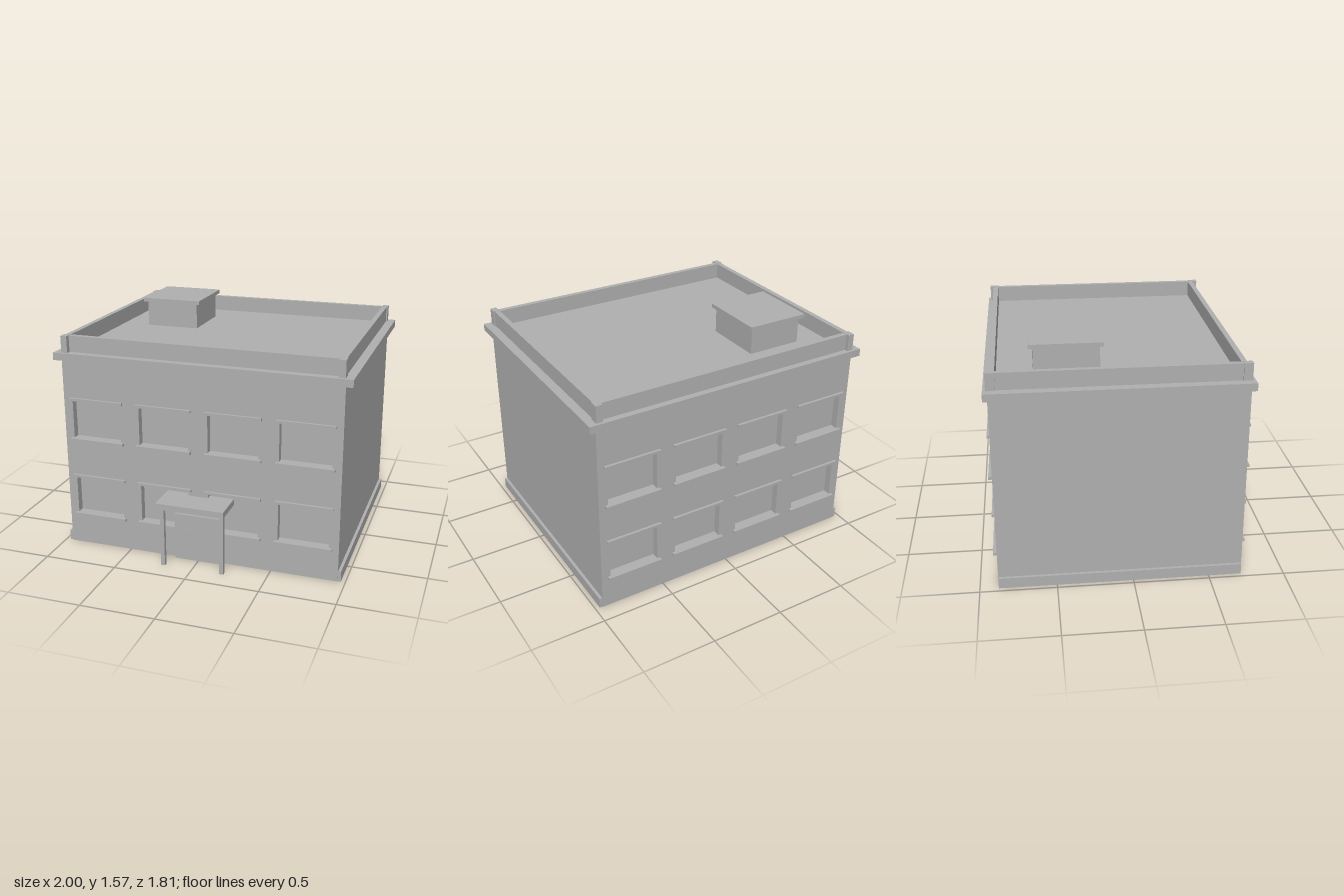
import * as THREE from 'three';

export function createModel() {
  const group = new THREE.Group();
  const plaster = new THREE.MeshStandardMaterial({ color: 0xb0b0b0 });
  plaster.name = 'grey plaster';

  const add = (name, geometry) => {
    const mesh = new THREE.Mesh(geometry, plaster);
    mesh.name = name;
    group.add(mesh);
    return mesh;
  };
  // Box given by its limits on each axis
  const box = (name, x0, x1, y0, y1, z0, z1) =>
    add(name, new THREE.BoxGeometry(x1 - x0, y1 - y0, z1 - z0))
      .position.set((x0 + x1) / 2, (y0 + y1) / 2, (z0 + z1) / 2);
  const rect = (Kind, x0, x1, y0, y1) => new Kind([
    new THREE.Vector2(x0, y0), new THREE.Vector2(x1, y0),
    new THREE.Vector2(x1, y1), new THREE.Vector2(x0, y1),
  ]);

  const FRONT = 0.72, BACK = -0.88, RECESS = 0.05;
  const columns = [-0.717, -0.24, 0.237, 0.715];
  const floors = [0.23, 0.78];
  const halfWidth = 0.171, windowHeight = 0.265;

  // Core block, whose faces are the window panes
  box('core', -0.95, 0.95, 0, 1.33, BACK + RECESS, FRONT - RECESS);

  // Pierced front and back walls
  const wall = rect(THREE.Shape, -0.95, 0.95, 0, 1.33);
  for (const x of columns) for (const y of floors)
    wall.holes.push(rect(THREE.Path, x - halfWidth, x + halfWidth, y, y + windowHeight));
  const wallGeometry = new THREE.ExtrudeGeometry(wall, { depth: RECESS, bevelEnabled: false });
  add('frontWall', wallGeometry).position.z = FRONT - RECESS;
  add('backWall', wallGeometry).position.z = BACK;

  // Window sills and heads
  for (const x of columns) for (const y of floors) {
    const top = y + windowHeight;
    box('frontSill', x - 0.192, x + 0.192, y - 0.018, y, FRONT - RECESS, 0.745);
    box('frontHead', x - 0.192, x + 0.192, top, top + 0.018, FRONT - RECESS, 0.738);
    box('backSill', x - 0.192, x + 0.192, y - 0.018, y, -0.905, BACK + RECESS);
    box('backHead', x - 0.192, x + 0.192, top, top + 0.018, -0.898, BACK + RECESS);
  }

  // Plinth and cornice
  box('plinth', -0.97, 0.97, 0, 0.072, -0.877, 0.717);
  box('cornice', -1, 1, 1.32, 1.37, -0.907, 0.743);

  // Parapet ring with corner posts
  const ring = rect(THREE.Shape, -0.94, 0.94, -0.69, 0.865);
  ring.holes.push(rect(THREE.Path, -0.905, 0.905, -0.655, 0.83));
  const parapet = add('parapet', new THREE.ExtrudeGeometry(ring, { depth: 0.11, bevelEnabled: false }));
  parapet.rotation.x = -Math.PI / 2;
  parapet.position.y = 1.37;
  for (const s of [-1, 1]) {
    const x0 = Math.min(s * 0.905, s * 0.948), x1 = x0 + 0.043;
    box('cornerPost', x0, x1, 1.37, 1.482, 0.665, 0.723);
    box('cornerPost', x0, x1, 1.37, 1.482, -0.888, -0.83);
  }

  // Roof hatch
  box('roofHatch', -0.71, -0.333, 1.37, 1.55, -0.6, -0.185);
  box('hatchCap', -0.737, -0.308, 1.547, 1.574, -0.627, -0.165);

  // Entrance: door, canopy and posts
  box('door', -0.165, 0.165, 0, 0.33, FRONT - RECESS, 0.743);
  box('canopy', -0.233, 0.233, 0.422, 0.464, 0.68, 0.905);
  for (const s of [-1, 1])
    box('canopyPost', s * 0.205 - 0.014, s * 0.205 + 0.014, 0, 0.423, 0.838, 0.866);

  return group;
}
